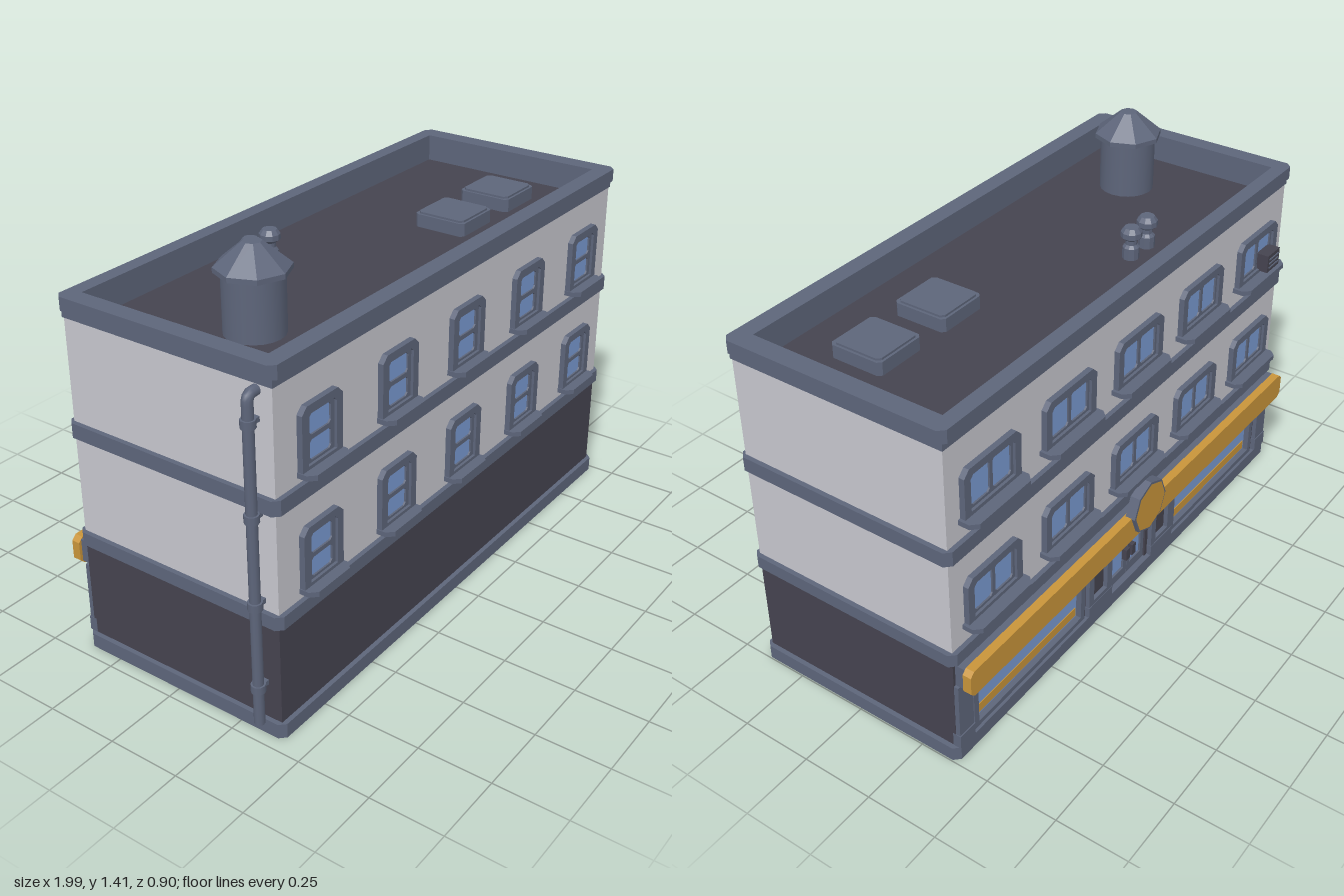
import * as THREE from 'three';

const flat = (name, color) => Object.assign(new THREE.MeshStandardMaterial({ color }), { name });

export function createModel() {
  const slate = flat('slate trim', 0x5d657a);
  const dark = flat('dark wall', 0x45434f);
  const pale = flat('pale wall', 0xc6c6cd);
  const blue = flat('blue glass', 0x7899d0);
  const gold = flat('golden sign', 0xc8943a);

  const model = new THREE.Group();
  model.name = 'building';
  const CX = 0.02;

  const add = (parent, name, geo, mat, x = 0, y = 0, z = 0) => {
    const mesh = new THREE.Mesh(geo, mat);
    mesh.name = name;
    mesh.position.set(x, y, z);
    parent.add(mesh);
    return mesh;
  };
  const box = (parent, name, mat, x0, x1, y0, y1, z0, z1) =>
    add(parent, name, new THREE.BoxGeometry(x1 - x0, y1 - y0, z1 - z0), mat,
      (x0 + x1) / 2, (y0 + y1) / 2, (z0 + z1) / 2);

  // Rectangle outline; a cuts the lower corners and b the upper ones
  const outline = (x0, x1, y0, y1, a = 0, b = a) => {
    const pts = [];
    const corner = (x, y, c, p, q) => {
      if (!c) pts.push(new THREE.Vector2(x, y));
      else pts.push(new THREE.Vector2(x + p[0] * c, y + p[1] * c), new THREE.Vector2(x + q[0] * c, y + q[1] * c));
    };
    corner(x0, y0, a, [0, 1], [1, 0]);
    corner(x1, y0, a, [-1, 0], [0, 1]);
    corner(x1, y1, b, [0, -1], [-1, 0]);
    corner(x0, y1, b, [1, 0], [0, -1]);
    return pts;
  };
  const extrude = (points, holes, depth) => {
    const shape = new THREE.Shape(points);
    holes.forEach(h => shape.holes.push(new THREE.Path(h)));
    return new THREE.ExtrudeGeometry(shape, { depth, bevelEnabled: false });
  };
  // Horizontal slab or ring, drawn in plan with its y as -z
  const slab = (parent, name, mat, points, holes, y0, y1) =>
    add(parent, name, extrude(points, holes, y1 - y0).rotateX(-Math.PI / 2), mat, 0, y0, 0);

  // Walls
  const wall = (d = 0, c = 0) => outline(-0.94 - d, 0.98 + d, -0.395 - d, 0.37 + d, c);
  const inner = outline(-0.895, 0.93, -0.35, 0.335);
  box(model, 'groundFloor', dark, -0.94, 0.98, 0.01, 0.4, -0.345, 0.395);
  slab(model, 'upperWalls', pale, wall(), [wall(-0.02)], 0.42, 1.16);
  slab(model, 'roofFloor', dark, wall(-0.02), [], 1.12, 1.135);

  // Trim bands and parapet
  const band = wall(0.016, 0.02);
  slab(model, 'baseBand', slate, band, [], 0, 0.05);
  slab(model, 'baseUnderside', dark, wall(0.005), [], -0.0005, 0.004);
  slab(model, 'firstFloorBand', slate, band, [], 0.39, 0.435);
  slab(model, 'secondFloorBand', slate, band, [], 0.77, 0.82);
  slab(model, 'parapetLining', slate, wall(-0.02), [inner], 1.12, 1.16);
  slab(model, 'frieze', slate, wall(0.004), [inner], 1.16, 1.186);
  slab(model, 'parapetCap', slate, band, [inner], 1.186, 1.23);

  // Window with frame, sash, glass and sill, facing local +z
  const buildWindow = (parent, x, y, s) => {
    const g = new THREE.Group();
    g.name = 'window';
    g.position.set(x, y, 0);
    parent.add(g);
    const open = outline(-s.open, s.open, s.openY[0], s.openY[1], 0, 0.012);
    add(g, 'windowFrame', extrude(outline(-s.half, s.half, 0, s.height, 0, 0.022), [open], 0.019), slate);
    const panes = s.panes.map(p => outline(...p, 0.009));
    add(g, 'windowSash', extrude(open, panes, 0.01), slate);
    box(g, 'windowGlass', blue, -s.open, s.open, s.openY[0], s.openY[1], 0, 0.004);
    const w = s.half + s.sillExtra, d = s.sillDepth;
    const plan = [[-w, 0], [-w + 0.022, -d], [w - 0.022, -d], [w, 0]].map(p => new THREE.Vector2(...p));
    plan.splice(1, 0, new THREE.Vector2(-w, -d + 0.022));
    plan.splice(4, 0, new THREE.Vector2(w, -d + 0.022));
    slab(g, 'windowSill', slate, plan, [], 0, 0.017);
  };
  const tall = {
    half: 0.093, height: 0.217, open: 0.065, openY: [0.028, 0.192], sillExtra: 0.003, sillDepth: 0.055,
    panes: [[-0.049, 0.049, 0.036, 0.1], [-0.049, 0.049, 0.115, 0.181]],
  };
  const wide = {
    half: 0.13, height: 0.178, open: 0.102, openY: [0.03, 0.152], sillExtra: 0.01, sillDepth: 0.06,
    panes: [[-0.092, -0.007, 0.039, 0.143], [0.007, 0.092, 0.039, 0.143]],
  };
  const front = new THREE.Group();
  front.name = 'frontFacade';
  front.position.set(CX, 0, 0.395);
  const back = new THREE.Group();
  back.name = 'backFacade';
  back.position.set(CX, 0, -0.37);
  back.rotation.y = Math.PI;
  model.add(front, back);
  for (let i = -2; i <= 2; i++) {
    for (const floor of [0, 0.386]) {
      buildWindow(front, i * 0.384, 0.455 + floor, tall);
      buildWindow(back, i * 0.384, 0.49 + floor, wide);
    }
  }
  // Air conditioner in one back window
  box(back, 'airConditioner', dark, 0.78, 0.865, 0.9, 0.965, 0, 0.05);
  for (let i = 0; i < 3; i++) {
    const y = 0.914 + i * 0.016;
    box(back, 'airConditionerSlat', slate, 0.79, 0.855, y, y + 0.005, 0.049, 0.053);
  }

  // Shopfront wall with openings for two display windows and a door
  const doorHole = outline(-0.11, 0.11, 0.05, 0.285);
  const shopHoles = [-1, 1].map(s => outline(s * 0.575 - 0.29, s * 0.575 + 0.29, 0.058, 0.285));
  add(back, 'shopfrontWall', extrude(outline(-0.96, 0.96, 0.03, 0.4), [doorHole, ...shopHoles], 0.026), dark, 0, 0, -0.026);
  for (const s of [-1, 1]) {
    const c = s * 0.575;
    box(back, 'displayGlass', blue, c - 0.29, c + 0.29, 0.05, 0.29, -0.024, -0.018);
    box(back, 'displayStripe', gold, c - 0.275, c + 0.275, 0.07, 0.104, -0.018, -0.015);
    add(back, 'displayFrame', extrude(outline(c - 0.3, c + 0.3, 0.05, 0.295),
      [outline(c - 0.278, c + 0.278, 0.068, 0.28)], 0.02), slate, 0, 0, -0.014);
    // Panelled pilaster beside the door
    add(back, 'doorPilaster', extrude(outline(s * 0.195 - 0.068, s * 0.195 + 0.068, 0.05, 0.3),
      [outline(s * 0.195 - 0.04, s * 0.195 + 0.04, 0.105, 0.27)], 0.016), slate);
    box(back, 'pilasterFoot', slate, s * 0.195 - 0.07, s * 0.195 + 0.07, 0.05, 0.09, 0, 0.018);
    box(back, 'cornerPilaster', slate, s * 0.925 - 0.034, s * 0.925 + 0.034, 0.05, 0.3, -0.01, 0.016);
    box(back, 'cornerFoot', slate, s * 0.925 - 0.036, s * 0.925 + 0.036, 0.05, 0.1, -0.01, 0.019);
    // Door leaf
    const d = s * 0.055;
    add(back, 'doorLeaf', extrude(outline(d - 0.054, d + 0.054, 0.05, 0.285),
      [outline(d - 0.035, d + 0.035, 0.085, 0.268)], 0.014), slate, 0, 0, -0.02);
    box(back, 'doorGlass', blue, d - 0.04, d + 0.04, 0.08, 0.275, -0.02, -0.014);
    box(back, 'doorHandle', dark, s * 0.018 - 0.011, s * 0.018 + 0.011, 0.13, 0.175, -0.007, 0.012);
  }

  // Shop sign and its round badge
  box(back, 'signBacking', slate, -0.95, 0.95, 0.3, 0.38, -0.005, 0.04);
  add(back, 'signBoard', extrude(outline(-0.96, 0.96, 0.29, 0.386, 0.016), [], 0.03), gold, 0, 0, 0.036);
  const disc = (r, h) => new THREE.CylinderGeometry(r, r, h, 8).toNonIndexed().rotateX(Math.PI / 2);
  const rim = disc(0.097, 0.036);
  rim.computeVertexNormals();
  add(back, 'badgeRim', rim, slate, 0, 0.384, 0.06);
  add(back, 'badgeFace', new THREE.CircleGeometry(0.09, 8).rotateZ(Math.PI / 2), gold, 0, 0.384, 0.0795);

  // Water tank
  const tank = new THREE.Group();
  tank.name = 'waterTank';
  tank.position.set(-0.655, 0, 0.105);
  model.add(tank);
  add(tank, 'tankBody', new THREE.CylinderGeometry(0.094, 0.094, 0.2, 20), slate, 0, 1.232, 0);
  const faceted = geo => {
    const g = geo.toNonIndexed();
    g.computeVertexNormals();
    return g;
  };
  add(tank, 'tankEave', faceted(new THREE.CylinderGeometry(0.115, 0.115, 0.016, 8)), slate, 0, 1.332, 0);
  add(tank, 'tankRoof', faceted(new THREE.CylinderGeometry(0.029, 0.115, 0.073, 8)), slate, 0, 1.3765, 0);

  // Roof vents
  const ventProfile = [[0.028, 1.13], [0.028, 1.175], [0.019, 1.185], [0.019, 1.2], [0.035, 1.212], [0.035, 1.23], [0.024, 1.245], [0, 1.245]]
    .map(p => new THREE.Vector2(...p));
  for (const x of [-0.313, -0.218]) {
    add(model, 'roofVent', faceted(new THREE.LatheGeometry(ventProfile, 10)), slate, x, 0, -0.19);
  }

  // Skylights
  for (const x of [0.403, 0.69]) {
    slab(model, 'skylight', slate, outline(x - 0.094, x + 0.094, -0.2, -0.01, 0.012), [], 1.13, 1.18);
    slab(model, 'skylightTop', slate, outline(x - 0.086, x + 0.086, -0.192, -0.018, 0.012), [], 1.18, 1.187);
  }

  // Drainpipe with clamps
  const path = new THREE.CurvePath();
  const v = (x, y) => new THREE.Vector3(x, y, 0.34);
  path.add(new THREE.LineCurve3(v(-0.977, 0.05), v(-0.977, 1.115)));
  path.add(new THREE.QuadraticBezierCurve3(v(-0.977, 1.115), v(-0.977, 1.14), v(-0.958, 1.14)));
  path.add(new THREE.LineCurve3(v(-0.958, 1.14), v(-0.93, 1.14)));
  add(model, 'drainpipe', new THREE.TubeGeometry(path, 100, 0.017, 10), slate);
  for (const y of [0.18, 0.47, 0.76, 1.055]) {
    add(model, 'pipeClamp', new THREE.CylinderGeometry(0.023, 0.023, 0.026, 10), slate, -0.977, y, 0.34);
    box(model, 'pipeBracket', slate, -0.97, -0.935, y - 0.008, y + 0.008, 0.33, 0.35);
  }
  return model;
}
